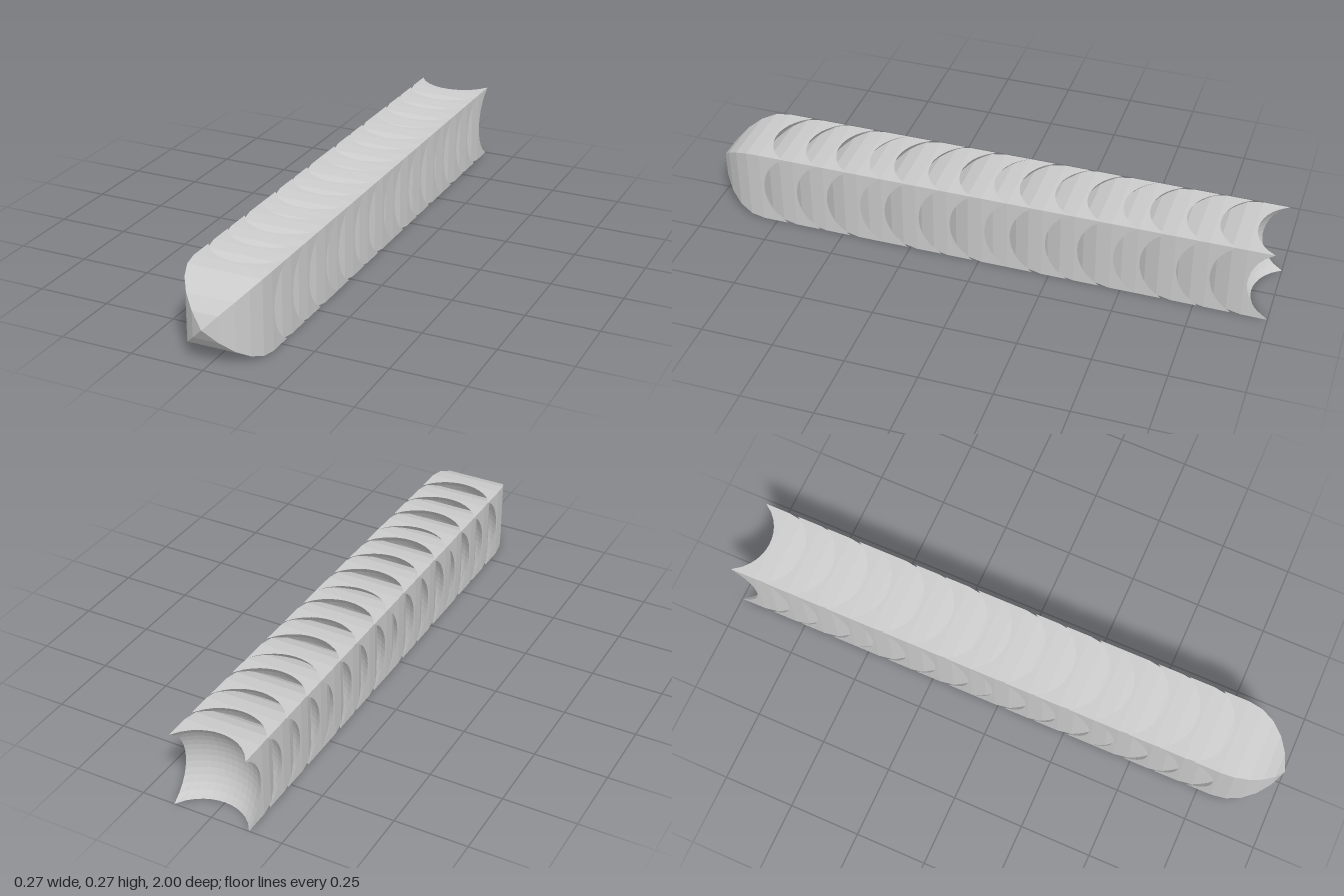
import * as THREE from 'three';
import { mergeGeometries } from 'three/addons/utils/BufferGeometryUtils.js';

const W = 0.135;      // half width of the square section
const NOSE = 0.2;     // length of the nose
const LENGTH = 0.29;  // tip to rear corners
const SCOOP_R = 0.205;

// z of the spherical rear hollow, measured from the tip
const rearZ = (x, y) =>
  -LENGTH - Math.sqrt(SCOOP_R ** 2 - 2 * W * W) + Math.sqrt(SCOOP_R ** 2 - x * x - y * y);

// Move every vertex of a geometry to a new z
function setZ(geometry, rule) {
  const p = geometry.attributes.position;
  for (let i = 0; i < p.count; i++) p.setZ(i, rule(p.getX(i), p.getY(i), p.getZ(i)));
  geometry.computeVertexNormals();
  return geometry;
}

function segmentGeometry() {
  const parts = [];

  // Four-sided nose with a circular-arc profile
  const R = (NOSE ** 2 + W ** 2) / (2 * W);
  const sweep = Math.asin(NOSE / R);
  const profile = [];
  for (let i = 0; i <= 5; i++) {
    const a = (sweep * i) / 5;
    const w = Math.max(0, W - R * (1 - Math.cos(a)));
    profile.push(new THREE.Vector2(w * Math.SQRT2, R * Math.sin(a) - NOSE));
  }
  parts.push(new THREE.LatheGeometry(profile, 4, Math.PI / 4).rotateX(Math.PI / 2));

  // Four flat walls ending in an arc at the rear
  for (let i = 0; i < 4; i++) {
    const wall = new THREE.PlaneGeometry(2 * W, 1, 12, 1).rotateX(-Math.PI / 2).translate(0, W, 0);
    setZ(wall, (x, y, z) => (z > 0 ? -NOSE : rearZ(x, W)));
    parts.push(wall.rotateZ((i * Math.PI) / 2));
  }

  // Hollow rear face
  const hollow = new THREE.PlaneGeometry(2 * W, 2 * W, 12, 12).rotateY(Math.PI);
  parts.push(setZ(hollow, (x, y) => rearZ(x, y)));

  return mergeGeometries(parts);
}

export function createModel() {
  const group = new THREE.Group();
  group.name = 'nestedSegments';
  const material = new THREE.MeshStandardMaterial({
    color: 0xcccccc, flatShading: true, side: THREE.DoubleSide,
  });
  const geometry = segmentGeometry();

  // Nested row of segments with a repeating spacing
  const gaps = [0.124, 0.112, 0.124, 0.09];
  let tip = 1;
  for (let i = 0; i < 16; i++) {
    const segment = new THREE.Mesh(geometry, material);
    segment.name = `segment${i + 1}`;
    segment.position.set(0, W, tip);
    group.add(segment);
    tip -= gaps[i % 4];
  }
  return group;
}
